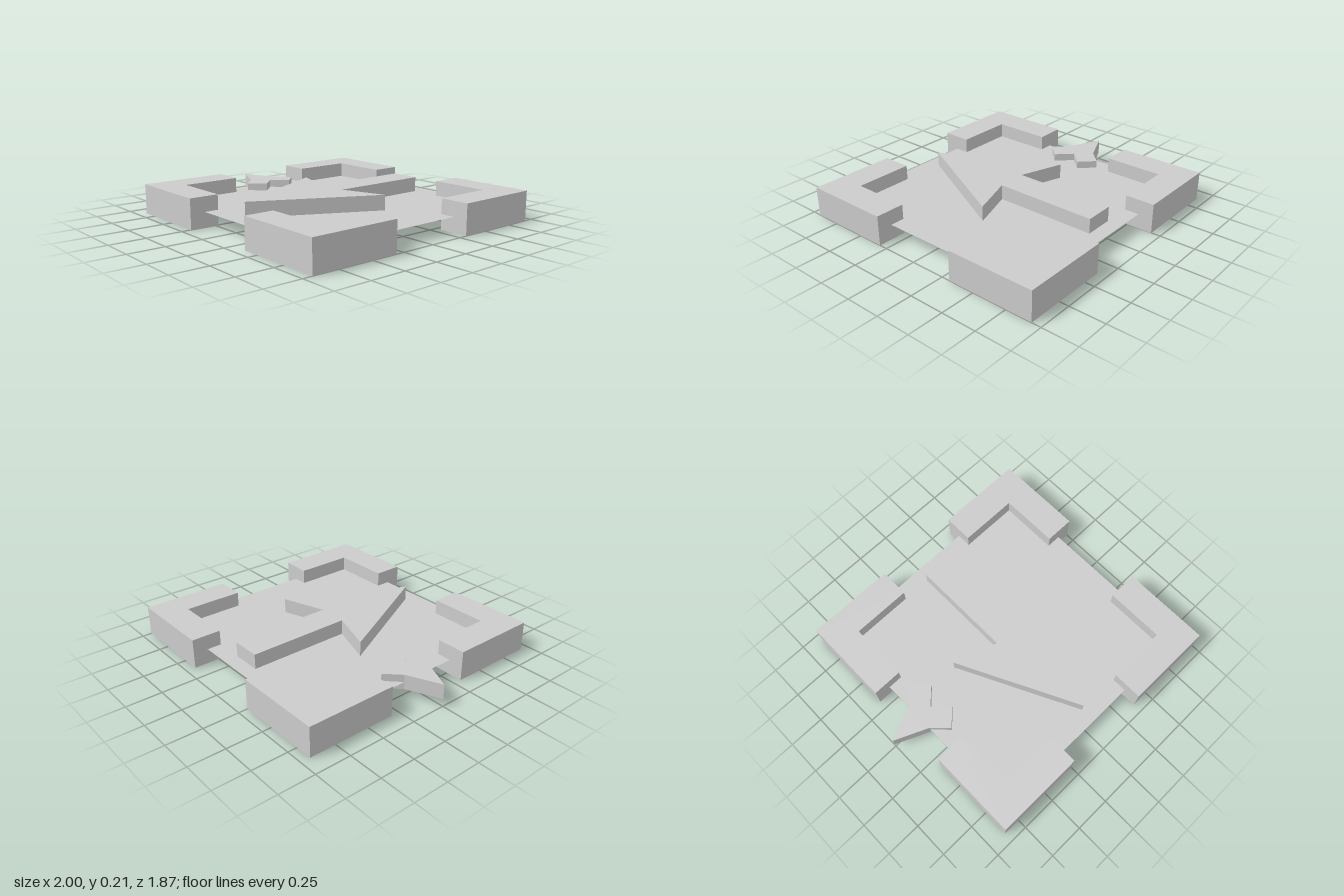
import * as THREE from 'three';

const material = new THREE.MeshStandardMaterial({ color: 0xcccccc, flatShading: true });
const sheetMaterial = new THREE.MeshStandardMaterial({ color: 0xcccccc, side: THREE.DoubleSide });

const CENTRE_X = 0.065; // the plate sits off centre because the pointer sticks out
const MID_Y = 0.105;

// Upright prism from an [x, z] outline, centred on the plate's height
function prism(name, outline, height) {
  const shape = new THREE.Shape(outline.map(([x, z]) => new THREE.Vector2(x, z)));
  const geometry = new THREE.ExtrudeGeometry(shape, { depth: height, bevelEnabled: false });
  geometry.rotateX(Math.PI / 2);
  const mesh = new THREE.Mesh(geometry, material);
  mesh.name = name;
  mesh.position.set(CENTRE_X, MID_Y + height / 2, 0);
  return mesh;
}

export function createModel() {
  const model = new THREE.Group();
  model.name = 'arrowTile';

  // Thin square sheet at mid height
  const plate = new THREE.Mesh(new THREE.PlaneGeometry(1.66, 1.66).rotateX(-Math.PI / 2), sheetMaterial);
  plate.name = 'plate';
  plate.position.set(CENTRE_X, MID_Y, 0);
  model.add(plate);

  // Four L-shaped corner brackets
  const bracket = [[0.935, 0.935], [0.31, 0.935], [0.31, 0.727], [0.727, 0.727], [0.727, 0.31], [0.935, 0.31]];
  for (const [sx, side] of [[1, 'Left'], [-1, 'Right']]) {
    for (const [sz, end] of [[1, 'front'], [-1, 'back']]) {
      model.add(prism(`${end}${side}Bracket`, bracket.map(([x, z]) => [x * sx, z * sz]), 0.21));
    }
  }

  // Large arrow pointing to the front
  model.add(prism('arrow', [
    [-0.105, -0.727], [0.105, -0.727], [0.105, 0], [0.415, -0.105],
    [0, 0.722], [-0.415, -0.105], [-0.105, 0],
  ], 0.21));

  // Small pointer with a notched tail on the right edge
  model.add(prism('pointer', [
    [-1.065, 0], [-0.83, -0.105], [-0.727, -0.207], [-0.625, -0.105],
    [-0.727, 0], [-0.625, 0.105], [-0.727, 0.207], [-0.83, 0.105],
  ], 0.105));

  return model;
}
